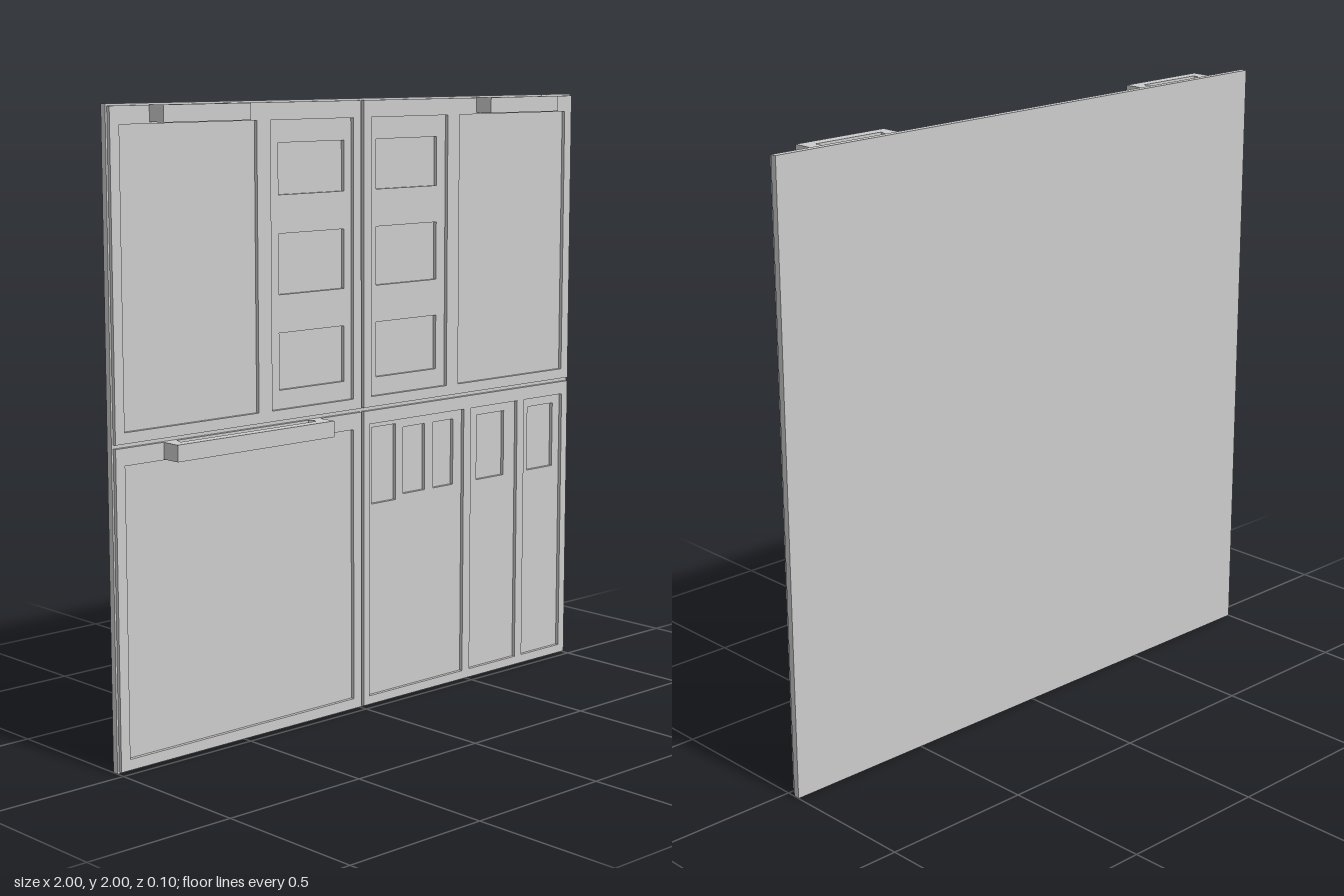
import * as THREE from 'three';

const BACK = -0.05, BASE = -0.041, FLOOR = -0.029, FRONT = -0.017;

function rect(Type, [x0, x1, y0, y1]) {
  const s = new Type();
  s.moveTo(x0, y0);
  s.lineTo(x1, y0);
  s.lineTo(x1, y1);
  s.lineTo(x0, y1);
  s.closePath();
  return s;
}

export function createModel() {
  const group = new THREE.Group();
  const material = new THREE.MeshStandardMaterial({ color: 0xcccccc, flatShading: true });

  function add(name, geometry, parent = group) {
    const mesh = new THREE.Mesh(geometry, material);
    mesh.name = name;
    parent.add(mesh);
    return mesh;
  }

  // Flat plate between two depths, with rectangular openings
  function plate(name, outline, openings, z0, z1, parent) {
    const shape = rect(THREE.Shape, outline);
    shape.holes = openings.map((o) => rect(THREE.Path, o));
    const geometry = new THREE.ExtrudeGeometry(shape, { depth: z1 - z0, bevelEnabled: false });
    geometry.translate(0, 0, z0);
    add(name, geometry, parent);
  }

  // Door: a raised frame with recesses, over a panel with deeper windows
  function door(name, [x0, x1, y0, y1], recesses, windows) {
    const part = new THREE.Group();
    part.name = name;
    group.add(part);
    const g = 0.006;
    plate('frame', [x0 + g, x1 - g, y0 + g, y1 - g], recesses, FLOOR, FRONT, part);
    plate('panel', [x0, x1, y0, y1], windows, BASE, FLOOR, part);
  }

  // Pull handle: bar on two tapered feet, open from top to bottom
  function handle(name, x0, x1, y0, y1) {
    const outer = [[x0, FRONT], [x0 + 0.05, FRONT], [x0 + 0.04, 0.014], [x1 - 0.04, 0.014],
      [x1 - 0.05, FRONT], [x1, FRONT], [x1, 0.05], [x0, 0.05]];
    const shape = new THREE.Shape(outer.map(([x, z]) => new THREE.Vector2(x, -z)));
    const geometry = new THREE.ExtrudeGeometry(shape, { depth: y1 - y0, bevelEnabled: false });
    geometry.rotateX(-Math.PI / 2);
    geometry.translate(0, y0, 0);
    add(name, geometry);
  }

  const mirror = ([a, b, c, d]) => [-b, -a, c, d];

  // Back sheet
  const sheet = new THREE.BoxGeometry(2, 2, BASE - BACK);
  sheet.translate(0, 1, (BASE + BACK) / 2);
  add('backSheet', sheet);

  // Upper pair of doors, mirrored
  const upperRecesses = [[0.44, 0.96, 1.04, 1.94], [0.04, 0.385, 1.04, 1.94]];
  const upperWindows = [[1.10, 1.28], [1.40, 1.59], [1.71, 1.87]].map(([a, b]) => [0.07, 0.345, a, b]);
  door('upperLeftDoor', [0, 1, 1, 2], upperRecesses, upperWindows);
  door('upperRightDoor', [-1, 0, 1, 2], upperRecesses.map(mirror), upperWindows.map(mirror));
  handle('upperLeftHandle', 0.52, 0.85, 1.945, 1.996);
  handle('upperRightHandle', -0.85, -0.52, 1.945, 1.996);

  // Lower right door
  door('lowerRightDoor', [-1, 0, 0, 1], [[-0.96, -0.04, 0.04, 0.94]], []);
  handle('lowerRightHandle', -0.815, -0.185, 0.942, 0.994);

  // Lower left section with three bays and small windows
  const bays = [[0.03, 0.47], [0.505, 0.735], [0.77, 0.965]].map(([a, b]) => [a, b, 0.035, 0.95]);
  const slots = [
    [0.05, 0.16, 0.68, 0.935],
    ...[[0.195, 0.295], [0.335, 0.43], [0.545, 0.68], [0.8, 0.93]].map(([a, b]) => [a, b, 0.695, 0.92]),
  ];
  door('lowerLeftSection', [0, 1, 0, 1], bays, slots);

  return group;
}
